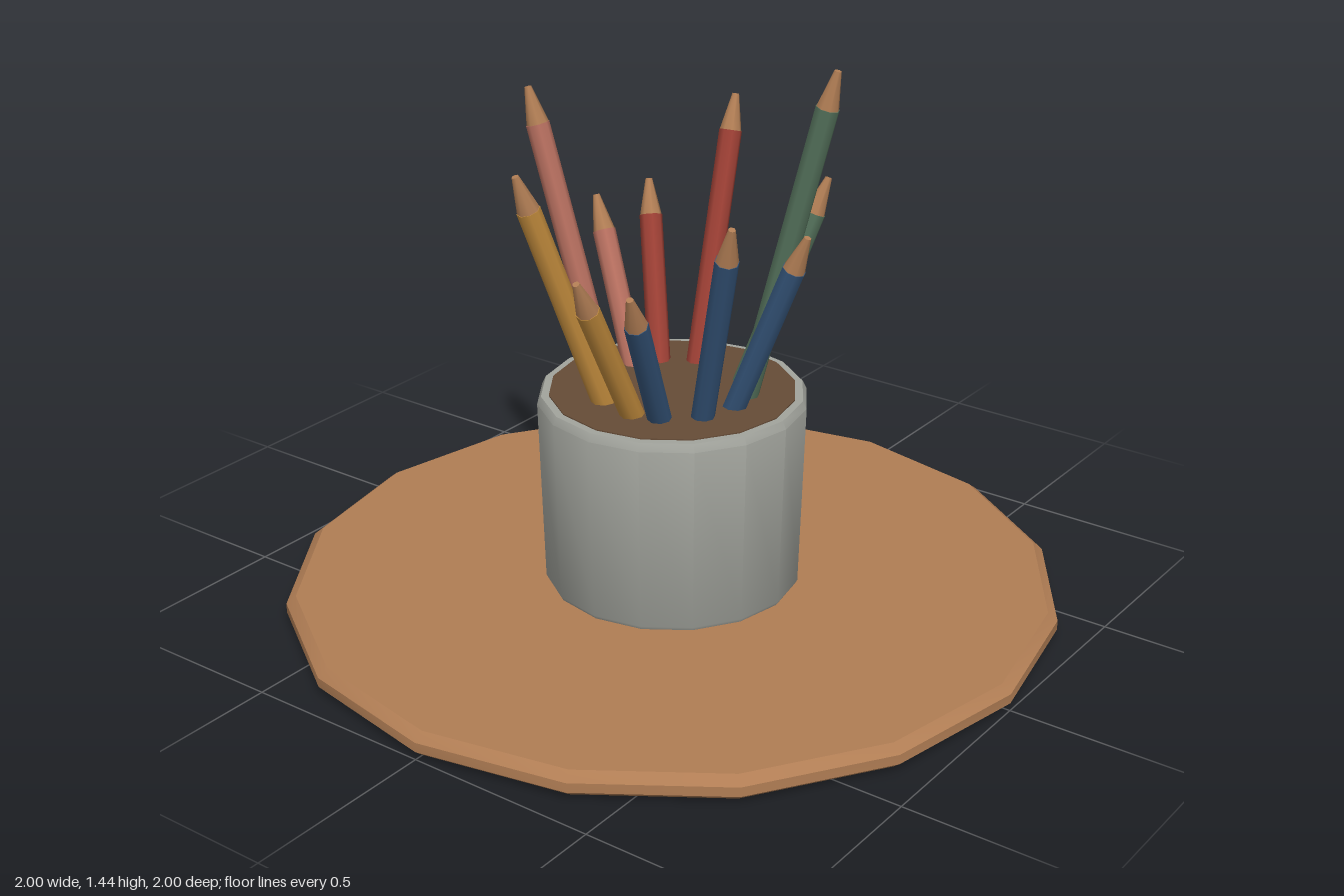
import * as THREE from 'three';
import { toCreasedNormals } from 'three/addons/utils/BufferGeometryUtils.js';

const material = (name, color) => {
  const m = new THREE.MeshStandardMaterial({ color });
  m.name = name;
  return m;
};

// Turned part with 16 sides; profile runs from the bottom up, as [radius, y]
function turned(name, profile, mat) {
  const points = profile.map(([r, y]) => new THREE.Vector2(r, y));
  const geometry = toCreasedNormals(new THREE.LatheGeometry(points, 16), 0.6);
  const mesh = new THREE.Mesh(geometry, mat);
  mesh.name = name;
  return mesh;
}

const FILL_Y = 0.583;
const RADIUS = 0.03;
const TIP = 0.095;
const SUNK = 0.1;

// Pencil leaning outward from the filling to its tip
function pencil(tipX, tipY, tipZ, baseX, baseZ, paint, wood) {
  const tip = new THREE.Vector3(tipX, tipY, tipZ);
  const foot = new THREE.Vector3(baseX, 0, baseZ).setLength(0.192).setY(FILL_Y);
  const axis = tip.clone().sub(foot);
  const length = axis.length() + SUNK;
  axis.normalize();

  const group = new THREE.Group();
  group.name = 'pencil';
  const barrelLength = length - TIP;
  const barrel = new THREE.Mesh(new THREE.CylinderGeometry(RADIUS, RADIUS, barrelLength, 8), paint);
  barrel.name = 'pencilBarrel';
  barrel.position.y = barrelLength / 2;
  const point = new THREE.Mesh(new THREE.CylinderGeometry(0.009, RADIUS * 0.95, TIP, 8), wood);
  point.name = 'pencilTip';
  point.position.y = barrelLength + TIP / 2;
  group.add(barrel, point);

  group.quaternion.setFromUnitVectors(new THREE.Vector3(0, 1, 0), axis);
  group.position.copy(foot).addScaledVector(axis, -SUNK);
  return group;
}

export function createModel() {
  const model = new THREE.Group();
  model.name = 'pencilPot';

  const wood = material('wood', 0xb07d54);
  const stone = material('grey', 0xa2a49d);
  const dark = material('dark brown', 0x664c37);
  const red = material('red', 0x9e4035);
  const pink = material('dusty pink', 0xb87060);
  const ochre = material('ochre', 0xc08a3c);
  const blue = material('blue', 0x35557a);
  const green = material('green', 0x53705a);

  // Round board with bevelled edge
  model.add(turned('board', [
    [0, 0], [0.975, 0], [1, 0.02], [1, 0.045], [0.975, 0.065], [0, 0.065],
  ], wood));

  // Slightly flared pot with a chamfered rim
  model.add(turned('pot', [
    [0, 0.064], [0.325, 0.064], [0.331, 0.075], [0.345, 0.56],
    [0.335, 0.58], [0.315, 0.58], [0.312, 0.56],
  ], stone));

  // Dark filling flush with the rim
  model.add(turned('filling', [
    [0.315, 0.55], [0.315, FILL_Y], [0, FILL_Y],
  ], dark));

  // Pencils: tip x, y, z, then the direction of the foot in x, z
  const pencils = [
    [-0.10, 1.24, -0.41, -0.05, -0.17, red],
    [-0.28, 1.01, -0.275, -0.14, -0.13, red],
    [-0.365, 0.98, -0.16, -0.165, -0.065, pink],
    [-0.395, 1.32, 0.07, -0.155, 0.03, pink],
    [-0.18, 1.21, 0.38, -0.08, 0.15, ochre],
    [0.03, 1.0, 0.42, 0.015, 0.175, ochre],
    [0.16, 0.98, 0.385, 0.08, 0.16, blue],
    [0.33, 1.14, 0.22, 0.15, 0.09, blue],
    [0.395, 1.07, 0, 0.175, 0, blue],
    [0.375, 1.44, -0.145, 0.16, -0.065, green],
    [0.24, 1.1, -0.33, 0.11, -0.145, green],
  ];
  for (const p of pencils) model.add(pencil(...p, wood));

  return model;
}
